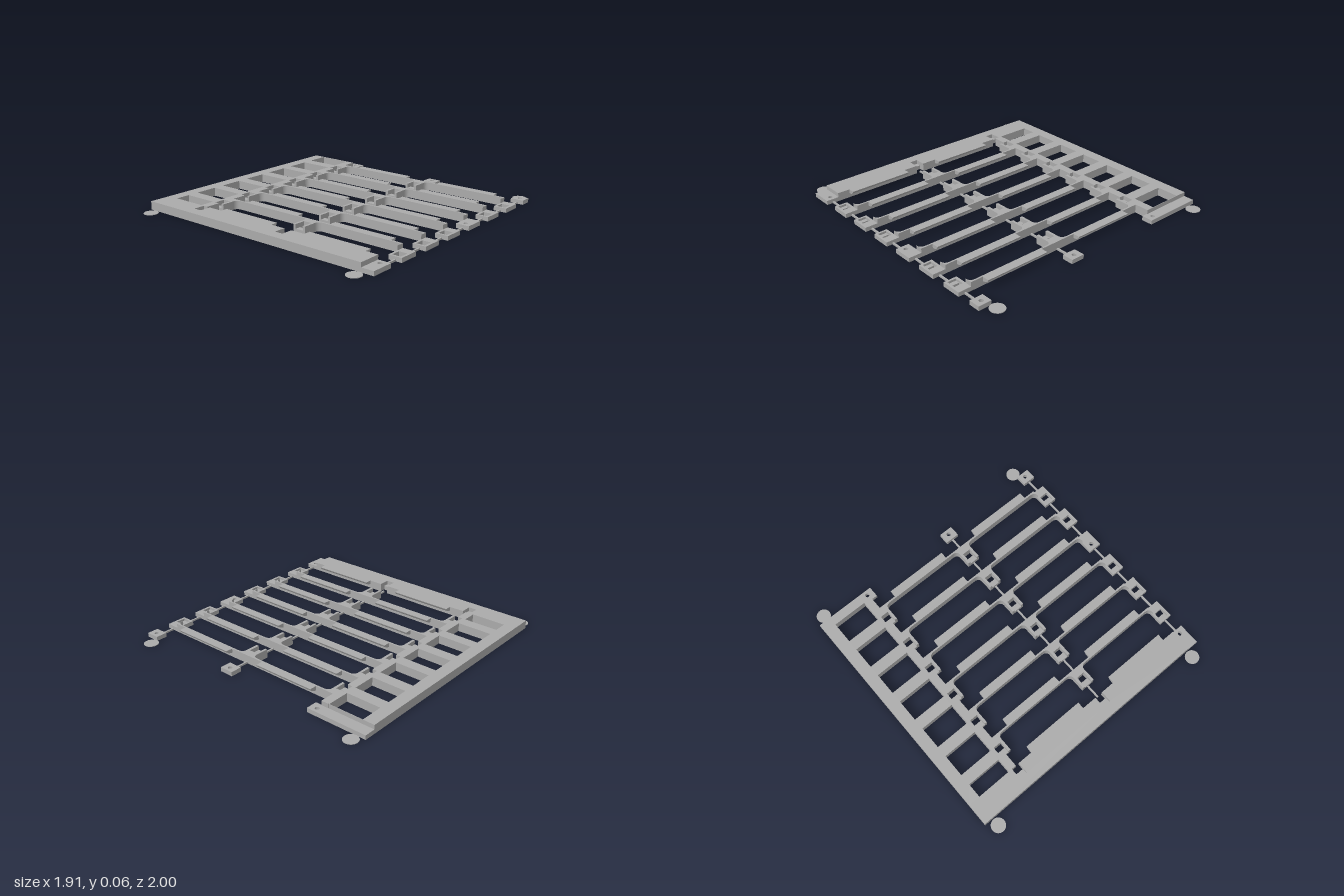
import * as THREE from 'three';

const grey = new THREE.MeshStandardMaterial({ color: 0xaaaaaa });
const H = 0.06, LOW = 0.03, PITCH = 0.243, ROWS = 6;
const rowZ = (i) => -0.72 + PITCH * i;

export function createModel() {
  const model = new THREE.Group();

  const add = (name, geometry) => {
    const mesh = new THREE.Mesh(geometry, grey);
    mesh.name = name;
    model.add(mesh);
    return mesh;
  };

  // Block given by its x, y and z limits
  const box = (name, x0, x1, y0, y1, z0, z1) =>
    add(name, new THREE.BoxGeometry(x1 - x0, y1 - y0, z1 - z0))
      .position.set((x0 + x1) / 2, (y0 + y1) / 2, (z0 + z1) / 2);

  // Flat outline in (x, z), extruded upwards from the ground
  const outline = (points) => new THREE.Shape(points.map(([x, z]) => new THREE.Vector2(x, -z)));
  const rect = (x0, x1, z0, z1) => outline([[x0, z0], [x0, z1], [x1, z1], [x1, z0]]);
  const pinHole = (x, z) => new THREE.Path().absarc(x, -z, 0.015, 0, Math.PI * 2, true);
  const plate = (name, shape, height, holes = []) => {
    shape.holes.push(...holes);
    const g = new THREE.ExtrudeGeometry(shape, { depth: height, bevelEnabled: false, curveSegments: 8 });
    add(name, g.rotateX(-Math.PI / 2));
  };

  // Side ladder: spine and rungs in one plate with windows
  const windows = [];
  for (let i = 0; i <= ROWS; i++) {
    const start = i === 0 ? -0.82 : rowZ(i - 1) + 0.14;
    const end = i === ROWS ? 0.738 : rowZ(i) + 0.06;
    windows.push(rect(-0.875, -0.625, start, end));
  }
  plate('sideLadder', rect(-0.96, -0.615, -0.822, 0.74), H, windows);

  // Low back bar and tabs with pin holes
  plate('backBar', rect(-0.96, -0.52, -0.9, -0.82), LOW, [pinHole(-0.57, -0.865)]);
  plate('backTab', rect(0.12, 0.22, -0.9, -0.82), LOW, [pinHole(0.17, -0.865)]);
  plate('backTab', rect(0.86, 0.955, -0.9, -0.82), LOW, [pinHole(0.907, -0.865)]);

  // Front bar with two notches and a low end
  plate('frontBar', outline([
    [-0.96, 0.738], [-0.96, 0.895], [0.865, 0.895], [0.865, 0.738],
    [0.2, 0.738], [0.2, 0.82], [0.14, 0.82], [0.14, 0.738],
    [-0.54, 0.738], [-0.54, 0.82], [-0.6, 0.82], [-0.6, 0.738],
  ]), H);
  plate('frontBarEnd', rect(0.865, 0.955, 0.738, 0.895), LOW, [pinHole(0.907, 0.775)]);
  for (const x of [-0.57, 0.17]) box('notchFloor', x - 0.03, x + 0.03, 0, LOW, 0.78, 0.82);

  // Tall socket open towards the front, with a low floor
  const socket = (x, z) => {
    const w = 0.048, s = 0.03;
    plate('socket', outline([
      [x - w, z], [x - w, z + 0.14], [x - s, z + 0.14], [x - s, z + 0.06],
      [x + s, z + 0.06], [x + s, z + 0.14], [x + w, z + 0.14], [x + w, z],
    ]), H);
    box('socketFloor', x - s, x + s, 0, LOW, z + 0.1, z + 0.14);
  };

  // Thin cross strip with filleted ends
  const strip = (x0, x1, z) => {
    const r = 0.04, f = -(z + 0.012);
    const s = new THREE.Shape();
    s.moveTo(x0, -z);
    s.lineTo(x0, f - r);
    s.quadraticCurveTo(x0, f, x0 + r, f);
    s.lineTo(x1 - r, f);
    s.quadraticCurveTo(x1, f, x1, f - r);
    s.lineTo(x1, -z);
    plate('crossStrip', s, H);
  };

  // Overhanging slat with a rounded underside
  const slat = (x0, x1, z) => {
    const s = new THREE.Shape();
    s.moveTo(-0.004, H);
    s.lineTo(-0.004, LOW);
    s.lineTo(0, LOW);
    s.quadraticCurveTo(0.042, LOW + 0.003, 0.05, H);
    const g = new THREE.ExtrudeGeometry(s, { depth: x1 - x0, bevelEnabled: false, curveSegments: 8 });
    add('slat', g.rotateY(Math.PI / 2)).position.set(x0, 0, z);
  };

  for (let i = 0; i <= ROWS; i++) {
    const z = rowZ(i);
    slat(-0.43, 0.03, z);
    slat(0.305, 0.775, z);

    // Rail and thin links leading to each row
    box('rail', -0.618, -0.565, 0, H, z - 0.103, z);
    for (const x of [0.17, 0.907]) box('link', x - 0.006, x + 0.006, 0, 0.012, z - 0.103, z);
    if (i === ROWS) break;

    strip(-0.523, 0.123, z);
    strip(0.217, 0.862, z);
    socket(-0.57, z);
    socket(0.17, z);

    // Low end blocks: one has a pin hole, the others a slot
    const pinned = i === 2;
    const hole = pinned ? pinHole(0.907, z + 0.1) : rect(0.877, 0.937, z + 0.06, z + 0.125);
    plate('endBlock', rect(0.86, 0.955, z, z + 0.14), LOW, [hole]);
    if (!pinned) box('endBlockFloor', 0.877, 0.937, 0, 0.015, z + 0.095, z + 0.125);
  }

  // Thin corner discs
  for (const x of [-0.895, 0.86]) {
    for (const z of [-0.95, 0.95]) {
      add('cornerDisc', new THREE.CylinderGeometry(0.05, 0.05, 0.004, 32)).position.set(x, 0.002, z);
    }
  }

  return model;
}
